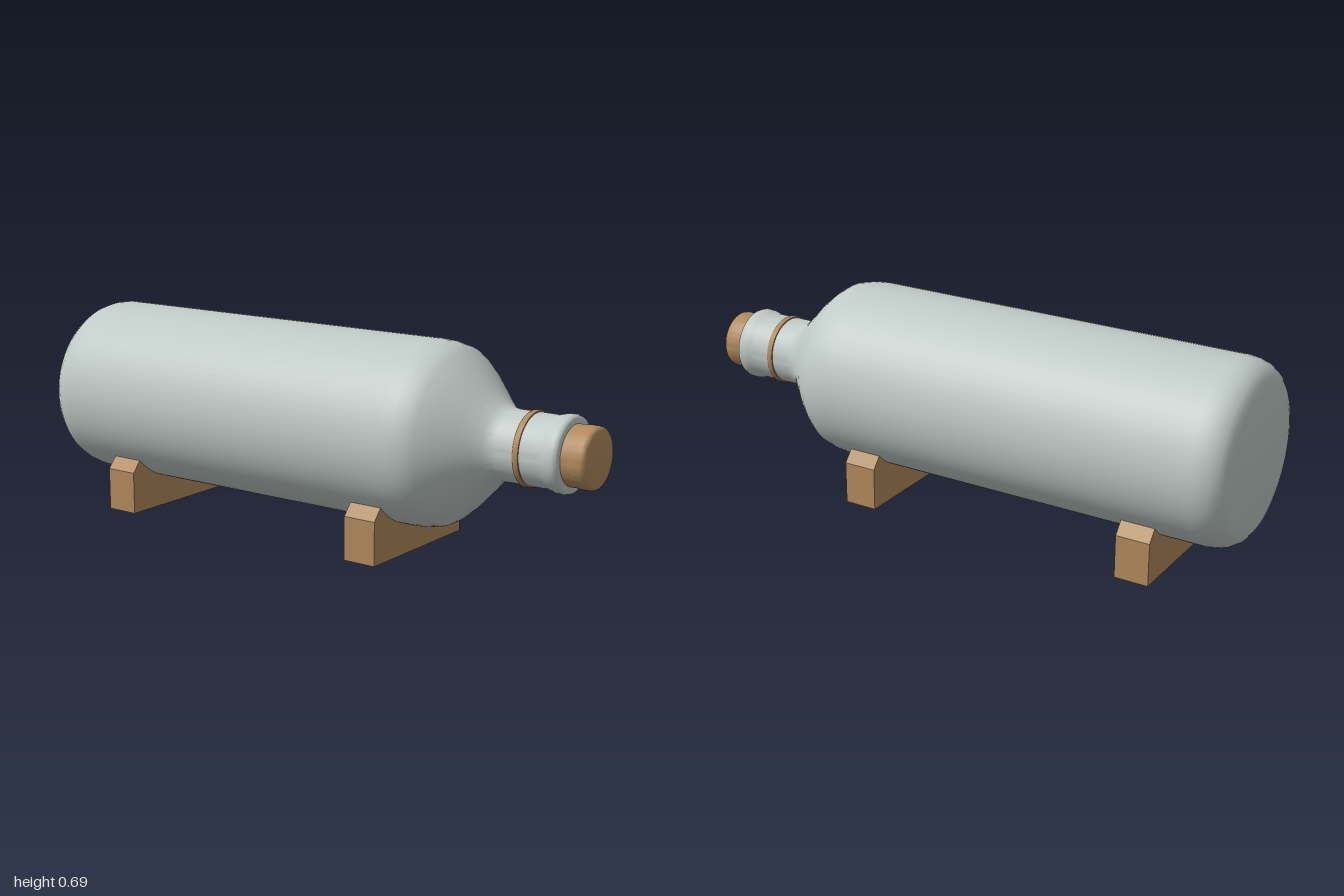
import * as THREE from 'three';
import { toCreasedNormals } from 'three/addons/utils/BufferGeometryUtils.js';

const AXIS_Y = 0.39; // height of the bottle's centre line
const RADIUS = 0.3;

// Turns [x, radius] pairs into a solid of revolution lying along the x axis
function turned(name, profile, material) {
  const points = profile.map(([x, r]) => new THREE.Vector2(r, x));
  const geometry = new THREE.LatheGeometry(points, 72);
  geometry.rotateZ(-Math.PI / 2);
  const mesh = new THREE.Mesh(toCreasedNormals(geometry, 0.75), material);
  mesh.name = name;
  mesh.position.y = AXIS_Y;
  return mesh;
}

// Block with chamfered shoulders and a round cradle cut to the bottle
function stand(name, x, material) {
  const width = 0.115, halfDepth = 0.25, tipZ = 0.217;
  const tipY = AXIS_Y - Math.sqrt(RADIUS ** 2 - tipZ ** 2);
  const angle = Math.atan2(tipY - AXIS_Y, tipZ);
  const shape = new THREE.Shape();
  shape.moveTo(-halfDepth, 0);
  shape.lineTo(halfDepth, 0);
  shape.lineTo(halfDepth, 0.144);
  shape.lineTo(tipZ, tipY);
  shape.absarc(0, AXIS_Y, RADIUS, angle, -Math.PI - angle, true);
  shape.lineTo(-halfDepth, 0.144);
  shape.closePath();
  const geometry = new THREE.ExtrudeGeometry(shape, { depth: width, bevelEnabled: false, curveSegments: 32 });
  geometry.translate(0, 0, -width / 2);
  geometry.rotateY(Math.PI / 2);
  const mesh = new THREE.Mesh(geometry, material);
  mesh.name = name;
  mesh.position.x = x;
  return mesh;
}

export function createModel() {
  const glass = new THREE.MeshStandardMaterial({ color: 0xbfc9c5 });
  glass.name = 'pale grey glass';
  const wood = new THREE.MeshStandardMaterial({ color: 0xb08a5c });
  wood.name = 'warm wood';

  const model = new THREE.Group();
  model.name = 'bottleOnStands';

  // Body, shoulder, neck and rolled lip
  model.add(turned('bottle', [
    [-1, 0], [-1, 0.228], [-0.994, 0.25], [-0.98, 0.271], [-0.957, 0.287], [-0.93, 0.296], [-0.9, 0.3],
    [0.41, 0.3], [0.45, 0.297], [0.495, 0.287], [0.52, 0.271], [0.56, 0.237], [0.61, 0.187],
    [0.645, 0.151], [0.67, 0.129], [0.69, 0.117], [0.71, 0.114], [0.855, 0.114],
    [0.87, 0.118], [0.885, 0.122], [0.905, 0.123], [0.916, 0.119], [0.92, 0.112], [0.92, 0.08],
  ], glass));

  // Thin band round the neck
  model.add(turned('neckBand', [
    [0.77, 0.11], [0.77, 0.118], [0.774, 0.12], [0.786, 0.12], [0.79, 0.118], [0.79, 0.11],
  ], wood));

  // Stopper with softened edges
  model.add(turned('stopper', [
    [0.9, 0.096], [0.945, 0.096], [0.957, 0.098], [0.985, 0.098], [0.994, 0.096], [0.998, 0.092], [1, 0.085], [1, 0],
  ], wood));

  model.add(stand('rearStand', -0.707, wood));
  model.add(stand('neckStand', 0.308, wood));
  return model;
}
